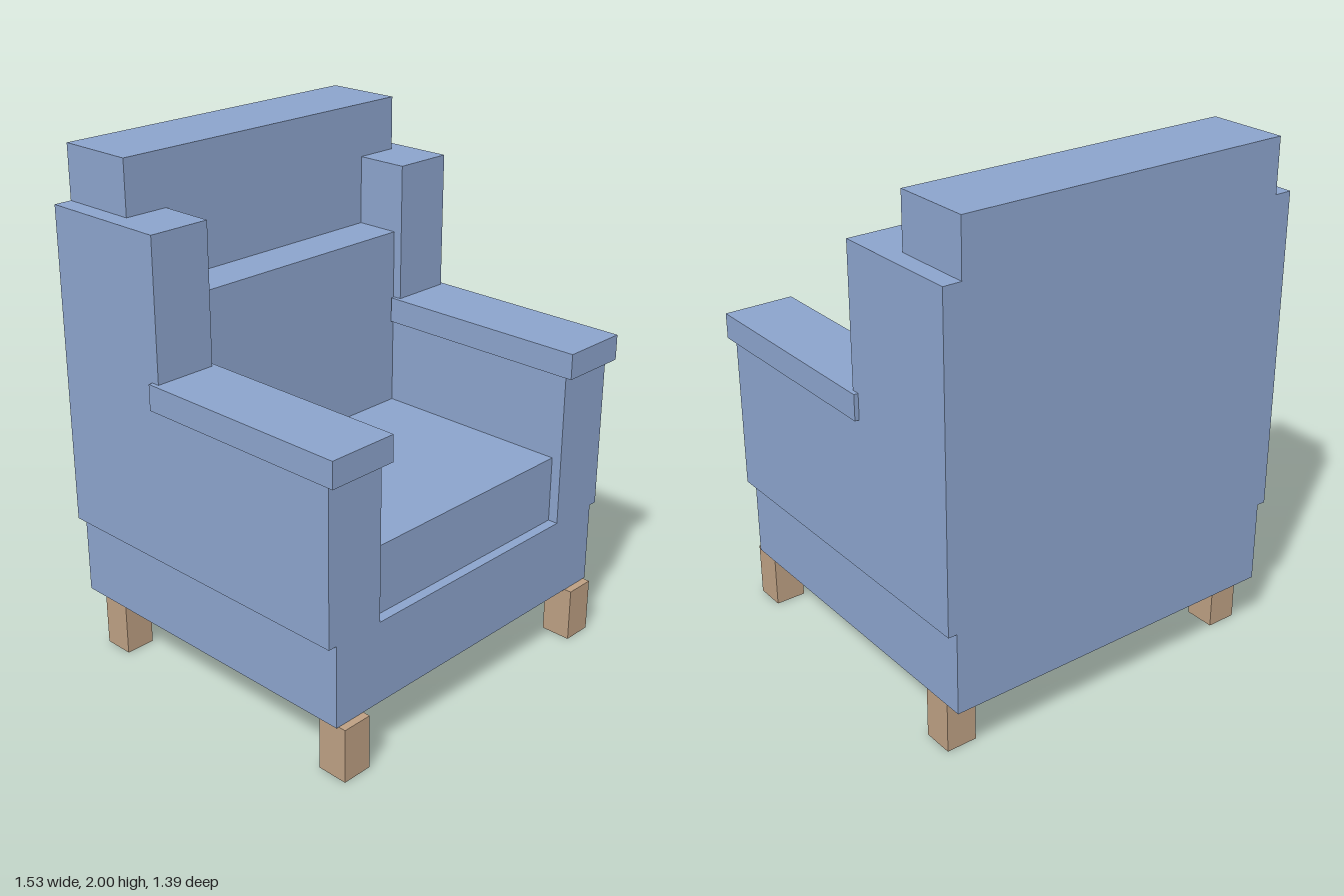
import * as THREE from 'three';

export function createModel() {
  const group = new THREE.Group();
  const fabric = new THREE.MeshStandardMaterial({ color: 0x8ba3cb });
  fabric.name = 'blue fabric';
  const wood = new THREE.MeshStandardMaterial({ color: 0xbc9f82 });
  wood.name = 'light wood';

  // Box given by its extents on each axis
  function block(name, material, [x0, x1], [y0, y1], [z0, z1]) {
    const mesh = new THREE.Mesh(new THREE.BoxGeometry(x1 - x0, y1 - y0, z1 - z0), material);
    mesh.position.set((x0 + x1) / 2, (y0 + y1) / 2, (z0 + z1) / 2);
    mesh.name = name;
    group.add(mesh);
  }

  const back = -0.695;

  // Base, cushions and back
  block('base', fabric, [-0.713, 0.713], [0.215, 0.54], [back, 0.66]);
  block('seatCushion', fabric, [-0.5, 0.5], [0.54, 0.805], [-0.2, 0.62]);
  block('backCushion', fabric, [-0.5, 0.5], [0.54, 1.52], [-0.38, -0.2]);
  block('backPanel', fabric, [-0.5, 0.5], [0.54, 1.79], [back, -0.38]);
  block('headRail', fabric, [-0.677, 0.677], [1.79, 2], [back, -0.38]);

  // L-shaped side profile (z, y): arm in front, tall wing behind
  const profile = new THREE.Shape([
    [back, 0.54], [0.66, 0.54], [0.66, 1.15], [-0.163, 1.15], [-0.163, 1.79], [back, 1.79],
  ].map(([z, y]) => new THREE.Vector2(z, y)));
  const sideGeometry = new THREE.ExtrudeGeometry(profile, { depth: 0.248, bevelEnabled: false });
  sideGeometry.translate(0, 0, -0.124).rotateY(-Math.PI / 2);

  for (const [side, s] of [['left', 1], ['right', -1]]) {
    const panel = new THREE.Mesh(sideGeometry, fabric);
    panel.name = side + 'ArmAndWing';
    panel.position.x = s * 0.624;
    group.add(panel);

    const span = (a, b) => (s > 0 ? [a, b] : [-b, -a]);
    block(side + 'ArmCap', fabric, span(0.483, 0.765), [1.15, 1.25], [-0.195, 0.695]);
    block(side + 'FrontLeg', wood, span(0.58, 0.702), [0, 0.215], [0.567, 0.69]);
    block(side + 'BackLeg', wood, span(0.58, 0.702), [0, 0.215], [-0.615, -0.493]);
  }
  return group;
}
